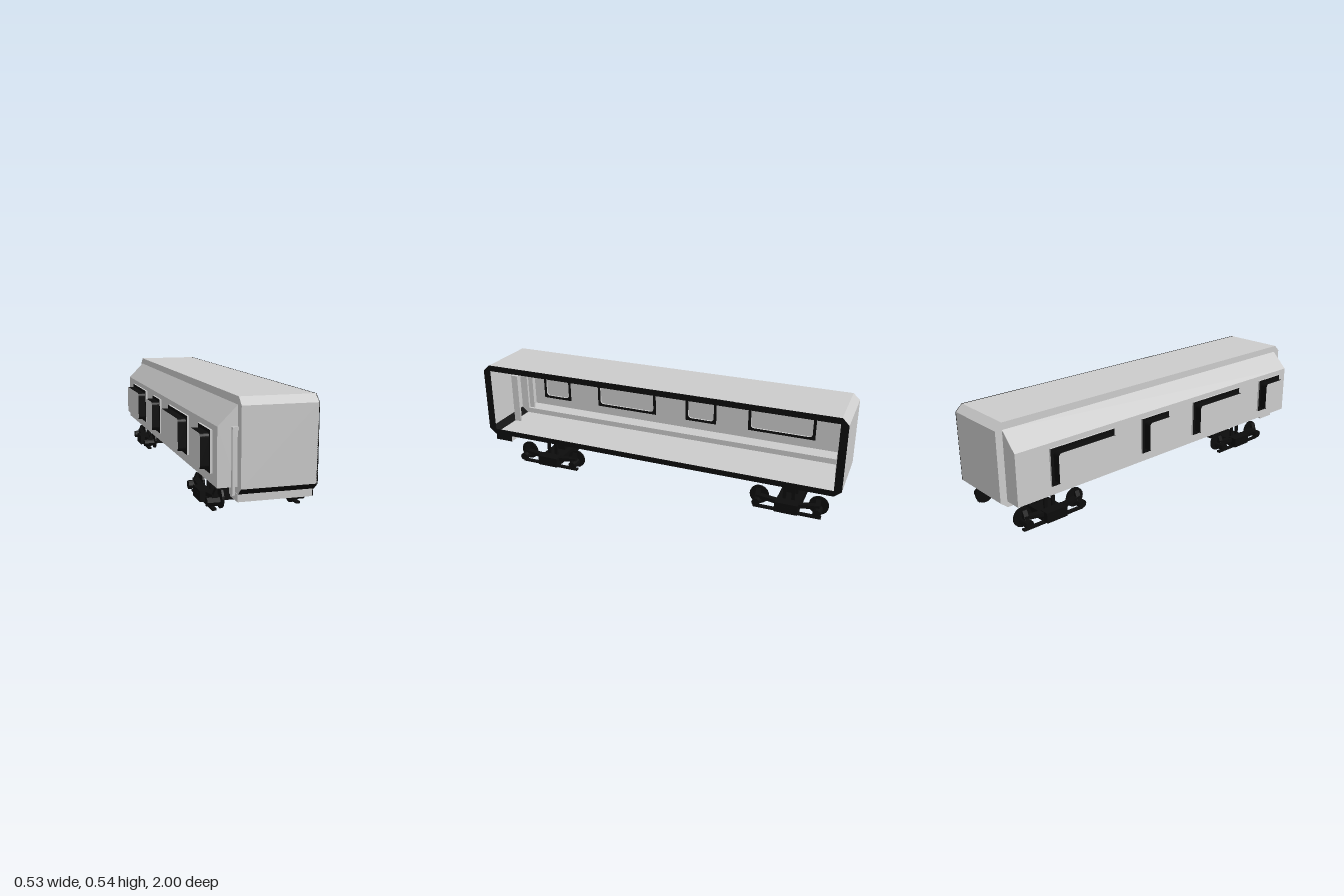
import * as THREE from 'three';

const grey = new THREE.MeshStandardMaterial({ color: 0xcccccc, side: THREE.DoubleSide, flatShading: true });
const black = new THREE.MeshStandardMaterial({ color: 0x0c0c0c, side: THREE.DoubleSide, flatShading: true });

function add(parent, name, geometry, material = grey, x = 0, y = 0, z = 0) {
  const mesh = new THREE.Mesh(geometry, material);
  mesh.name = name;
  mesh.position.set(x, y, z);
  parent.add(mesh);
  return mesh;
}

// Box given by its limits on each axis
function block(parent, name, [x0, x1], [y0, y1], [z0, z1], material = black) {
  return add(parent, name, new THREE.BoxGeometry(x1 - x0, y1 - y0, z1 - z0), material,
    (x0 + x1) / 2, (y0 + y1) / 2, (z0 + z1) / 2);
}

// Flat convex panel from corners in order
function panel(parent, name, corners, material = grey) {
  const g = new THREE.BufferGeometry();
  g.setAttribute('position', new THREE.Float32BufferAttribute(corners.flat(), 3));
  const index = [];
  for (let i = 1; i < corners.length - 1; i++) index.push(0, i, i + 1);
  g.setIndex(index);
  g.computeVertexNormals();
  return add(parent, name, g, material);
}

const poly = (pts) => new THREE.Shape(pts.map(([a, b]) => new THREE.Vector2(a, b)));
const rect = (a0, a1, b0, b1) => [[a0, b0], [a1, b0], [a1, b1], [a0, b1]];

function roundedRect(a0, a1, b0, b1, r) {
  const s = new THREE.Shape();
  s.absarc(a1 - r, b0 + r, r, -Math.PI / 2, 0);
  s.absarc(a1 - r, b1 - r, r, 0, Math.PI / 2);
  s.absarc(a0 + r, b1 - r, r, Math.PI / 2, Math.PI);
  s.absarc(a0 + r, b0 + r, r, Math.PI, Math.PI * 1.5);
  s.closePath();
  return s;
}

// Shapes are drawn in (z, y); extrusion runs towards -x
const flat = (shape) => new THREE.ShapeGeometry(shape).rotateY(-Math.PI / 2);
const sideways = (shape, depth) =>
  new THREE.ExtrudeGeometry(shape, { depth, bevelEnabled: false, curveSegments: 5 }).rotateY(-Math.PI / 2);

const XL = 0.21, XR = -0.13, XB = -0.218;       // open side, back of main hull, bay wall
const ZB = [-0.965, 0.955];                     // ends of the bay
const hull = [[-0.965, 0.125], [0.965, 0.125], [1, 0.155], [1, 0.502],
  [0.965, 0.535], [-0.965, 0.535], [-1, 0.502], [-1, 0.155]];
const hullNames = ['floor', 'frontLowerChamfer', 'frontEnd', 'frontRoofChamfer',
  'roof', 'rearRoofChamfer', 'rearEnd', 'rearLowerChamfer'];
const windows = [[0.705, 0.89], [0.145, 0.52], [-0.225, -0.04], [-0.785, -0.41]];

function buildBody() {
  const body = new THREE.Group();
  body.name = 'carBody';

  // Main hull: skin swept across the width
  hull.forEach(([z, y], i) => {
    const [z2, y2] = hull[(i + 1) % hull.length];
    panel(body, hullNames[i], [[XR, y, z], [XL, y, z], [XL, y2, z2], [XR, y2, z2]], i === 1 ? black : grey);
  });
  const back = poly(hull);
  back.holes.push(poly(rect(...ZB, 0.155, 0.5)));
  add(body, 'hullBackWall', flat(back), grey, XR);

  // Black rim round the open side
  const rim = poly(hull);
  rim.holes.push(poly(rect(-0.962, 0.962, 0.152, 0.505)));
  add(body, 'openingRim', sideways(rim, 0.006), black, 0.213);

  // Side bay with sloped shoulder and window openings
  const [z0, z1] = ZB;
  panel(body, 'bayShoulder', [[XR, 0.5, z0], [XR, 0.5, z1], [XB, 0.413, z1], [XB, 0.413, z0]]);
  panel(body, 'bayFloor', [[XB, 0.155, z0], [XB, 0.155, z1], [XR, 0.155, z1], [XR, 0.155, z0]]);
  for (const z of ZB)
    panel(body, 'bayEnd', [[XR, 0.155, z], [XR, 0.5, z], [XB, 0.413, z], [XB, 0.155, z]]);
  const wall = poly(rect(z0, z1, 0.155, 0.413));
  for (const [a, b] of windows) wall.holes.push(poly(rect(a, b, 0.202, 0.388)));
  add(body, 'bayWall', flat(wall), grey, XB);

  // Windows: flat surround and a projecting rounded pane
  for (const [a, b] of windows) {
    const pane = [a + 0.016, b - 0.016, 0.217, 0.373, 0.018];
    const surround = poly(rect(a, b, 0.202, 0.388));
    surround.holes.push(roundedRect(...pane));
    add(body, 'windowSurround', sideways(surround, 0.01), [black, grey], XB);
    add(body, 'windowPane', sideways(roundedRect(...pane), 0.04), [grey, black], -0.228);
  }

  // Door frames at both ends
  for (const [f0, f1] of [[0.925, 0.97], [-0.964, -0.935]]) {
    const bottom = f0 > 0 ? 0.123 : 0.156;
    block(body, 'doorPost', [-0.157, -0.145], [bottom, 0.41], [f0, f1], grey);
    block(body, 'doorPost', [0.0, 0.012], [0.126, 0.41], [f0, Math.min(f1, 0.965)], grey);
    block(body, 'doorLintel', [-0.145, 0.0], [0.396, 0.41], [f0, f1], grey);
  }

  // Step under the front end, with dark end caps
  block(body, 'step', [XR, 0.208], [0.09, 0.124], [0.86, 0.96], grey);
  block(body, 'stepEnd', [0.208, 0.211], [0.09, 0.124], [0.86, 0.96]);
  return body;
}

function buildBogie() {
  const bogie = new THREE.Group();
  bogie.name = 'bogie';
  block(bogie, 'bolster', [-0.2, 0.2], [0.013, 0.053], [-0.06, 0.06]);
  for (const x of [-0.075, 0.075])
    block(bogie, 'bolsterBlock', [x - 0.017, x + 0.017], [0.05, 0.09], [-0.03, 0.03]);

  for (const s of [-1, 1]) {
    const span = (a, b) => (s > 0 ? [a, b] : [-b, -a]);
    // Sloped arms from the centre to the wheels
    const arm = poly([[-0.16, 0.055], [-0.05, 0.04], [0.05, 0.04], [0.16, 0.055],
      [0.16, 0.072], [0.06, 0.06], [-0.06, 0.06], [-0.16, 0.072]]);
    add(bogie, 'sideArm', sideways(arm, 0.03), black, s > 0 ? 0.208 : -0.178);
    block(bogie, 'springBox', span(0.18, 0.234), [0.012, 0.064], [-0.058, 0.058]);
    block(bogie, 'springPlate', span(0.23, 0.235), [0.02, 0.047], [-0.03, 0.03]);
    block(bogie, 'bottomRail', span(0.19, 0.21), [0.002, 0.012], [-0.17, 0.17]);

    for (const e of [-1, 1]) {
      // Wheel, axle box and triangular hanger
      const wheel = new THREE.CylinderGeometry(0.049, 0.049, 0.01, 20).rotateZ(Math.PI / 2);
      add(bogie, 'wheel', wheel, black, s * 0.168, 0.056, e * 0.15);
      const axleBox = new THREE.CylinderGeometry(0.021, 0.021, 0.065, 10).rotateZ(Math.PI / 2);
      add(bogie, 'axleBox', axleBox, black, s * 0.2, 0.04, e * 0.152);
      const hanger = poly([[s * 0.182, 0.05], [s * 0.212, 0.05], [s * 0.19, 0.098], [s * 0.184, 0.098]]);
      add(bogie, 'hanger', new THREE.ExtrudeGeometry(hanger, { depth: 0.024, bevelEnabled: false }),
        black, 0, 0, e * 0.15 - 0.012);
      // Stalks reaching up to the floor
      block(bogie, 'stalk', span(0.164, 0.176), [0.055, 0.126], e > 0 ? [0.014, 0.03] : [-0.03, -0.014]);
    }
  }
  return bogie;
}

export function createModel() {
  const model = new THREE.Group();
  model.name = 'railCar';
  model.add(buildBody());
  for (const [name, z] of [['frontBogie', 0.597], ['rearBogie', -0.747]]) {
    const bogie = buildBogie();
    bogie.name = name;
    bogie.position.set(0.03, -0.002, z);
    model.add(bogie);
  }
  // Centre across the width
  return model;
}
